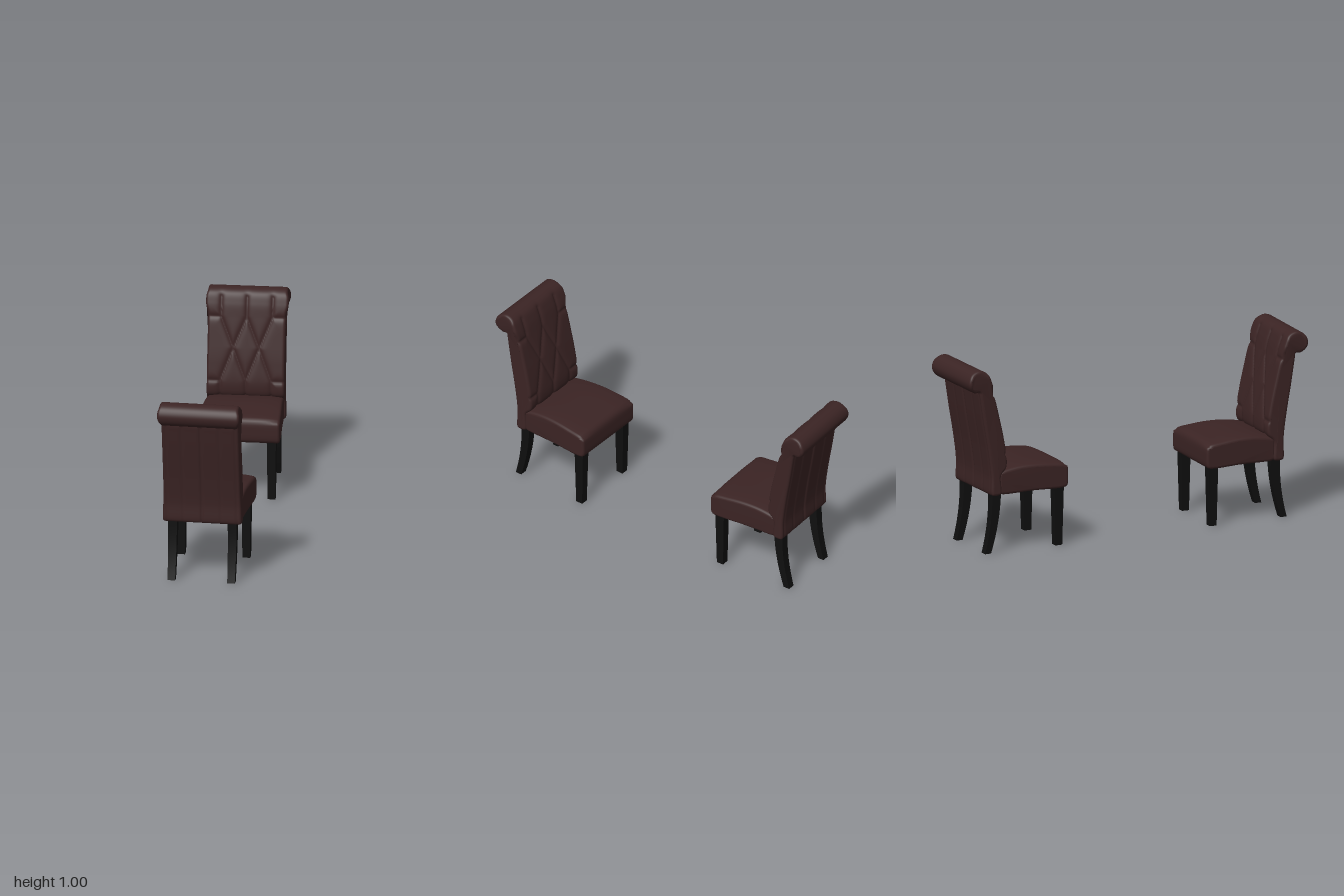
import * as THREE from 'three';

const leather = new THREE.MeshStandardMaterial({ color: 0x3b2424 });
leather.name = 'dark brown leather';
const wood = new THREE.MeshStandardMaterial({ color: 0x0f0f0f });
wood.name = 'black wood';
const lining = new THREE.MeshStandardMaterial({ color: 0x3a2f1a });
lining.name = 'olive lining';

// Closed side profile of [z, y] points, swept across x, with rounded ends.
// halfWidth(z, y) sets the width; relief(x, y, nz, ny) moves the skin along its normal.
function upholster(points, count, columns, radius, halfWidth, relief) {
  const curve = new THREE.CatmullRomCurve3(points.map(([z, y]) => new THREE.Vector3(z, y, 0)), true, 'centripetal');
  const loop = curve.getSpacedPoints(count).slice(0, count);
  const stations = [];
  for (let k = 4; k >= 1; k--) stations.push([-1, (k * Math.PI) / 8]);
  for (let c = 0; c <= columns; c++) stations.push([(2 * c) / columns - 1, 0]);
  for (let k = 1; k <= 4; k++) stations.push([1, (k * Math.PI) / 8]);

  const pos = [], index = [], n = stations.length;
  loop.forEach((p, i) => {
    const t = loop[(i + 1) % count].clone().sub(loop[(i + count - 1) % count]).normalize();
    const nz = t.y, ny = -t.x;
    const hw = halfWidth(p.x, p.y);
    for (const [f, a] of stations) {
      const x = f * (hw - radius) + Math.sign(f) * radius * Math.sin(a);
      const d = relief(x, p.y, nz, ny) - radius * (1 - Math.cos(a));
      pos.push(x, p.y + ny * d, p.x + nz * d);
    }
  });
  for (let i = 0; i < count; i++) {
    const i2 = (i + 1) % count;
    for (let j = 0; j < n - 1; j++) {
      const a = i * n + j, b = a + 1, c = i2 * n + j, d = c + 1;
      index.push(a, b, c, b, d, c);
    }
  }
  // flat ends
  const flat = loop.map((p) => new THREE.Vector2(p.x, p.y));
  for (const [a, b, c] of THREE.ShapeUtils.triangulateShape(flat, [])) {
    index.push(a * n, b * n, c * n);
    index.push(a * n + n - 1, c * n + n - 1, b * n + n - 1);
  }
  const g = new THREE.BufferGeometry();
  g.setAttribute('position', new THREE.Float32BufferAttribute(pos, 3));
  g.setIndex(index);
  g.computeVertexNormals();
  return g;
}

// Tufting: three buttons, two, three, joined by diagonal creases
const creases = [];
const rows = { top: 0.86, mid: 0.7, low: 0.53 };
for (const x of [-0.135, 0, 0.135]) {
  creases.push([x, rows.top, x, 0.965], [x, rows.low, x, 0.44]);
  for (const m of [-0.068, 0.068]) {
    if (Math.abs(x - m) < 0.1) creases.push([x, rows.top, m, rows.mid], [x, rows.low, m, rows.mid]);
  }
}
for (const s of [-1, 1]) {
  creases.push([s * 0.135, rows.top, s * 0.2, rows.top], [s * 0.135, rows.low, s * 0.2, rows.low]);
}

function creaseDistance(x, y) {
  let best = 1;
  for (const [x1, y1, x2, y2] of creases) {
    const dx = x2 - x1, dy = y2 - y1;
    const t = THREE.MathUtils.clamp(((x - x1) * dx + (y - y1) * dy) / (dx * dx + dy * dy), 0, 1);
    best = Math.min(best, Math.hypot(x - x1 - t * dx, y - y1 - t * dy));
  }
  return best;
}

function backRelief(x, y, nz) {
  if (nz > 0.2 && y > 0.44) {
    return -0.011 * THREE.MathUtils.smoothstep(nz, 0.2, 0.6) * Math.exp(-creaseDistance(x, y) / 0.011);
  }
  if (nz < -0.7 && y < 0.87) {
    // rear panel seams
    const seam = (at, depth) => depth * Math.exp(-(((Math.abs(x) - at) / 0.006) ** 2));
    return -seam(0, 0.007) - seam(0.1, 0.003) - seam(0.185, 0.004);
  }
  return 0;
}

const backProfile = [
  [-0.1, 0.325], [-0.1, 0.42], [-0.07, 0.455], [-0.064, 0.5], [-0.083, 0.62], [-0.113, 0.75],
  [-0.138, 0.85], [-0.16, 0.93], [-0.187, 0.982], [-0.235, 1.0], [-0.28, 0.982], [-0.3, 0.94],
  [-0.286, 0.9], [-0.255, 0.881], [-0.232, 0.884], [-0.228, 0.86], [-0.206, 0.72], [-0.178, 0.56],
  [-0.16, 0.42], [-0.159, 0.325], [-0.152, 0.316], [-0.108, 0.316],
];
const seatProfile = [
  [0.285, 0.316], [0.296, 0.326], [0.3, 0.38], [0.295, 0.43], [0.28, 0.447], [0.2, 0.46],
  [0.1, 0.467], [0, 0.463], [-0.09, 0.447], [-0.105, 0.44], [-0.11, 0.38], [-0.105, 0.322],
  [-0.095, 0.316], [0.1, 0.316],
];

// Square tapered leg; sweep bends its foot backwards
function legGeometry(topSize, footSize, sweep) {
  const h = 0.325;
  const g = new THREE.BoxGeometry(1, h, 1, 1, 8, 1).translate(0, h / 2, 0);
  const p = g.attributes.position;
  for (let i = 0; i < p.count; i++) {
    const t = p.getY(i) / h;
    const size = THREE.MathUtils.lerp(footSize, topSize, t);
    p.setX(i, p.getX(i) * THREE.MathUtils.lerp(0.04, 0.048, t));
    p.setZ(i, p.getZ(i) * size - sweep * (1 - t) ** 2);
  }
  g.computeVertexNormals();
  return g;
}

export function createModel() {
  const model = new THREE.Group();
  model.name = 'diningChairPair';

  const backrest = upholster(backProfile, 220, 60, 0.014,
    (z, y) => 0.204 + 0.013 * THREE.MathUtils.smoothstep(y, 0.87, 0.93) - 0.008 * THREE.MathUtils.smoothstep(y, 0.96, 1)
      + 0.005 * THREE.MathUtils.smoothstep(-y, -0.5, -0.32), backRelief);
  const seat = upholster(seatProfile, 90, 20, 0.014,
    (z, y) => 0.201 + 0.016 * THREE.MathUtils.smoothstep(z, -0.1, 0.28),
    (x, y, nz, ny) => (ny > 0.5 ? -0.01 * (x / 0.21) ** 4 : 0));
  const frontLeg = legGeometry(0.056, 0.04, 0);
  const backLeg = legGeometry(0.052, 0.036, 0.05);
  const panel = new THREE.BoxGeometry(0.36, 0.006, 0.34);

  function chair(name, z, turn) {
    const group = new THREE.Group();
    group.name = name;
    const add = (part, geometry, material, x = 0, y = 0, pz = 0) => {
      const mesh = new THREE.Mesh(geometry, material);
      mesh.name = part;
      mesh.position.set(x, y, pz);
      group.add(mesh);
    };
    add('backrest', backrest, leather);
    add('seat', seat, leather);
    add('undersidePanel', panel, lining, 0, 0.314, 0.095);
    for (const [side, s] of [['left', 1], ['right', -1]]) {
      add(side + 'FrontLeg', frontLeg, wood, s * 0.172, 0, 0.252);
      add(side + 'BackLeg', backLeg, wood, s * 0.158, 0, -0.119);
    }
    group.position.set(-0.002, 0, z);
    group.rotation.y = turn;
    group.scale.z = 0.978;
    model.add(group);
  }

  // Two chairs facing each other, each turned a little off square
  chair('rearChair', -0.7, 0.035);
  chair('frontChair', 0.699, Math.PI - 0.022);
  return model;
}
